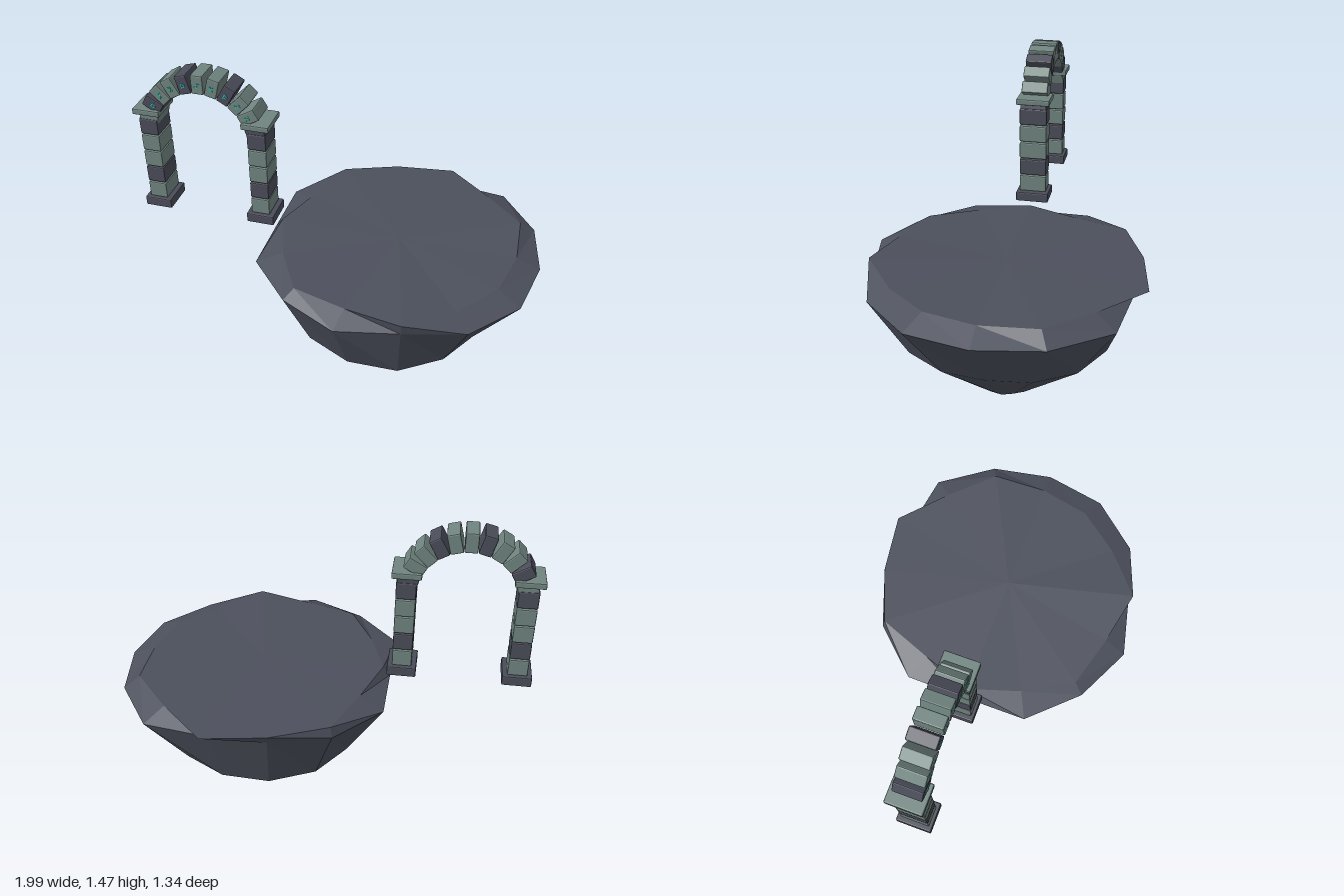
import * as THREE from 'three';
import { RoundedBoxGeometry } from 'three/addons/geometries/RoundedBoxGeometry.js';

const flat = (hex, name) => {
  const m = new THREE.MeshStandardMaterial({ color: hex, flatShading: true });
  m.name = name;
  return m;
};

export function createModel() {
  const rock = flat(0x4c505c, 'rock');
  const darkStone = flat(0x4a4c59, 'dark stone');
  const lightStone = flat(0x70847f, 'light stone');
  const rune = flat(0x2fc0ae, 'rune teal');
  const model = new THREE.Group();
  model.name = 'floatingIslandWithArch';

  // Faceted floating rock: four rings of radii, top to bottom
  const N = 14, CX = 0.31;
  const rings = [
    { y: [.69, .69, .685, .705, .69, .685, .68, .69, .685, .695, .69, .685, .69, .7],
      r: [.57, .57, .57, .635, .575, .62, .575, .6, .57, .66, .642, .688, .6, .62] },
    { y: [.645],
      r: [.685, .693, .676, .62, .685, .682, .707, .635, .7, .675, .62, .62, .717, .7] },
    { y: [.325],
      r: [.445, .47, .5, .535, .54, .54, .52, .47, .5, .52, .52, .51, .5, .47] },
    { y: [.005, .01, .003, .012],
      r: [.125, .13, .12, .125, .12, .13, .125] },
  ];
  const at = (list, i) => list[i % list.length];
  const pts = rings.map((ring) => Array.from({ length: N }, (_, i) => {
    const a = (i / N) * Math.PI * 2, r = at(ring.r, i);
    return [CX + r * Math.cos(a), at(ring.y, i), r * Math.sin(a)];
  }));
  const tri = [];
  for (let i = 0; i < N; i++) {
    const j = (i + 1) % N;
    tri.push([CX, .69, 0], pts[0][j], pts[0][i]);
    for (let k = 0; k < 3; k++) {
      const u = pts[k], l = pts[k + 1];
      tri.push(u[i], u[j], l[i], u[j], l[j], l[i]);
    }
    tri.push([CX, 0, 0], pts[3][i], pts[3][j]);
  }
  const rockGeo = new THREE.BufferGeometry();
  rockGeo.setAttribute('position', new THREE.Float32BufferAttribute(tri.flat(), 3));
  rockGeo.computeVertexNormals();
  const island = new THREE.Mesh(rockGeo, rock);
  island.name = 'islandRock';
  model.add(island);

  // Arch, centred on its springing point
  const arch = new THREE.Group();
  arch.name = 'stoneArch';
  arch.position.set(-0.655, 0, 0);
  model.add(arch);

  const block = (name, w, h, d, mat, parent, x, y) => {
    const m = new THREE.Mesh(new RoundedBoxGeometry(w, h, d, 1, 0.006), mat);
    m.name = name;
    m.position.set(x, y, 0);
    parent.add(m);
    return m;
  };

  // Two pillars with base, five blocks and a capital
  for (const side of [-1, 1]) {
    const pillar = new THREE.Group();
    pillar.name = side < 0 ? 'rightPillar' : 'leftPillar';
    pillar.position.x = side * 0.274;
    arch.add(pillar);
    block('pillarBase', 0.14, 0.05, 0.17, darkStone, pillar, 0, 0.727);
    for (let i = 0; i < 5; i++) {
      block('pillarBlock', 0.094, 0.085, 0.14, i % 3 === 1 ? darkStone : lightStone,
        pillar, 0, 0.796 + i * 0.0915);
    }
    block('capital', 0.138, 0.03, 0.17, lightStone, pillar, 0, 1.245);
  }

  // Wedge blocks around the arc, with small runes on the front
  const strokes = [
    [[0, 0, .005, .026, 0], [.007, .006, .014, .004, .6], [-.007, -.006, .014, .004, .6]],
    [[0, 0, .005, .028, .6], [0, 0, .005, .024, -.6]],
    [[-.006, 0, .005, .026, 0], [.004, .006, .016, .005, -.5], [.004, -.006, .016, .005, .5]],
  ];
  for (let k = -5; k <= 5; k++) {
    const stone = new THREE.Group();
    stone.name = 'archStone';
    stone.position.y = 1.147;
    stone.rotation.z = -k * Math.PI / 12;
    arch.add(stone);
    block('wedge', 0.06, 0.095, 0.134, (k + 6) % 3 === 2 ? darkStone : lightStone, stone, 0, 0.2755);
    if (Math.abs(k) === 5) continue;
    for (const [x, y, w, h, turn] of strokes[(k + 6) % 3]) {
      const bar = new THREE.Mesh(new THREE.BoxGeometry(w, h, 0.004), rune);
      bar.name = 'rune';
      bar.position.set(x, 0.273 + y, 0.068);
      bar.rotation.z = turn;
      stone.add(bar);
    }
  }
  return model;
}
